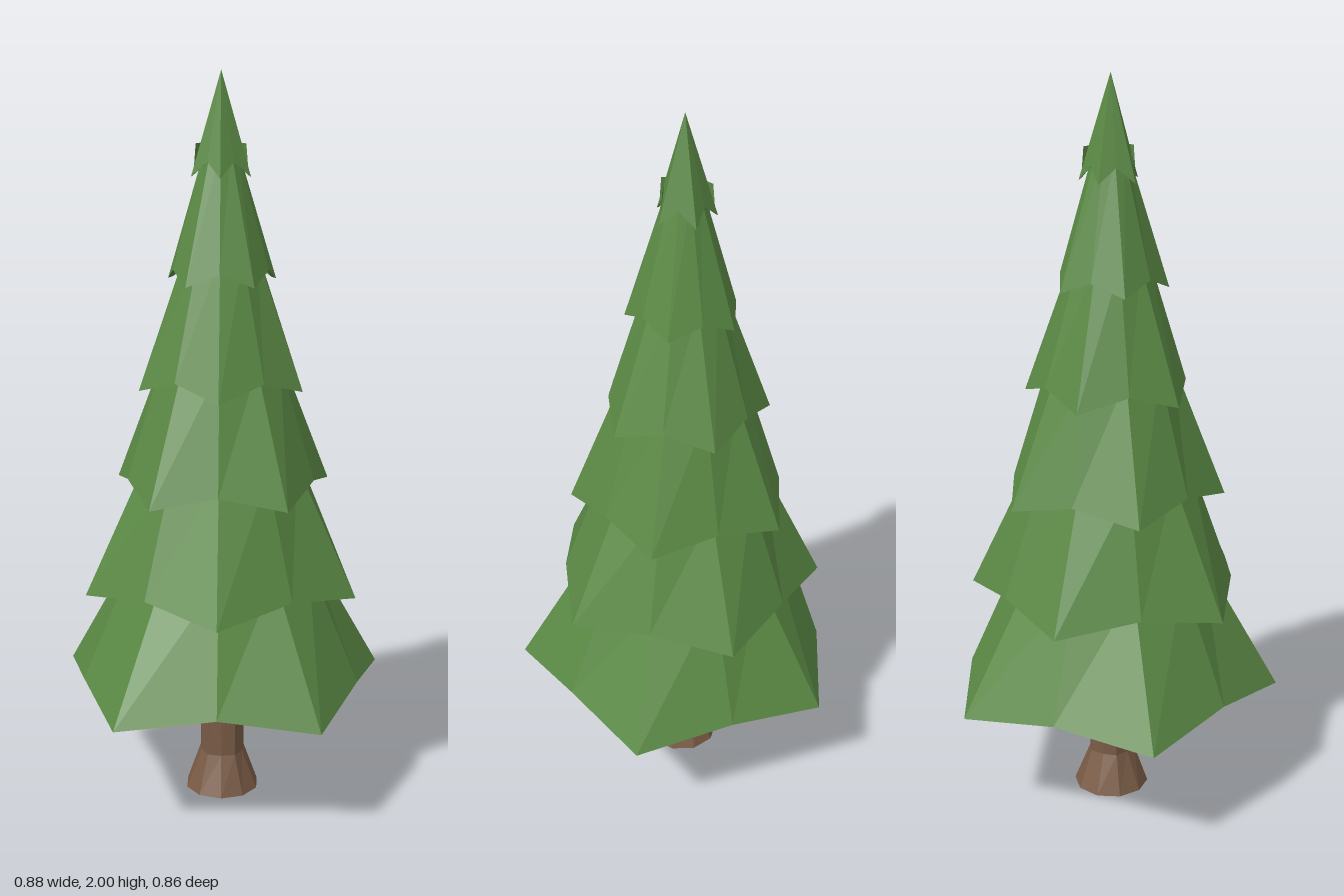
import * as THREE from 'three';

const SIDES = 10;
const AXIS_Z = -0.035;

// Ring with alternating tip / valley corners; even corners are tips.
const ring = (tipR, tipY, valleyR = tipR, valleyY = tipY) => ({ tipR, tipY, valleyR, valleyY });

// Skins a stack of rings (listed from the underside, outwards and up) with flat facets.
function loft(rings, turn, material, name) {
  const corner = (g, i) => {
    const a = (i * Math.PI * 2) / SIDES + turn;
    const tip = i % 2 === 0;
    const r = tip ? g.tipR : g.valleyR;
    return [r * Math.sin(a), tip ? g.tipY : g.valleyY, r * Math.cos(a)];
  };
  const pos = [];
  for (let k = 0; k < rings.length - 1; k++) {
    const lo = rings[k], hi = rings[k + 1];
    for (let i = 0; i < SIDES; i++) {
      const a = corner(lo, i), b = corner(lo, i + 1), c = corner(hi, i + 1), d = corner(hi, i);
      if (lo.tipR > 0) pos.push(...a, ...b, ...c);
      if (hi.tipR > 0) pos.push(...a, ...c, ...d);
    }
  }
  const geometry = new THREE.BufferGeometry();
  geometry.setAttribute('position', new THREE.Float32BufferAttribute(pos, 3));
  geometry.computeVertexNormals();
  const mesh = new THREE.Mesh(geometry, material);
  mesh.name = name;
  return mesh;
}

export function createModel() {
  const tree = new THREE.Group();
  tree.name = 'pineTree';
  const needles = new THREE.MeshStandardMaterial({ color: 0x5b8a45, flatShading: true });
  const bark = new THREE.MeshStandardMaterial({ color: 0x7a5c46, flatShading: true });

  // Trunk: flared foot, lightly fluted stem
  tree.add(loft([
    ring(0, 0),
    ring(0.104, 0),
    ring(0.065, 0.11, 0.06),
    ring(0.063, 0.45, 0.056),
  ], 0, bark, 'trunk'));

  // Branch tiers: tip radius, tip height, valley radius, valley height, top radius, top height
  const tiers = [
    [0.463, 0.325, 0.395, 0.368, 0.25, 0.70],
    [0.385, 0.610, 0.330, 0.648, 0.215, 0.97],
    [0.307, 0.890, 0.263, 0.930, 0.165, 1.25],
    [0.229, 1.170, 0.198, 1.210, 0.100, 1.53],
    [0.152, 1.455, 0.132, 1.490, 0.045, 1.80],
    [0.082, 1.730, 0.058, 1.770, 0, 2.0],
  ];
  const branches = new THREE.Group();
  branches.name = 'branches';
  tiers.forEach(([tipR, tipY, valR, valY, topR, topY], i) => {
    const capY = valY + 0.045;
    const rings = [
      ring(0, capY),                                   // recessed underside
      ring(tipR * 0.84, capY, valR * 0.86, capY),
      ring(tipR * 0.92, tipY + 0.004, valR * 0.92, valY + 0.004), // inner rim
      ring(tipR, tipY, valR, valY),                    // jagged hem
      ring(topR, topY),
    ];
    if (topR > 0) rings.push(ring(0, topY));
    branches.add(loft(rings, (i % 2) * Math.PI / 5, needles, `branchTier${i + 1}`));
  });
  tree.add(branches);

  tree.children.forEach((part) => { part.position.z = AXIS_Z; });
  return tree;
}
